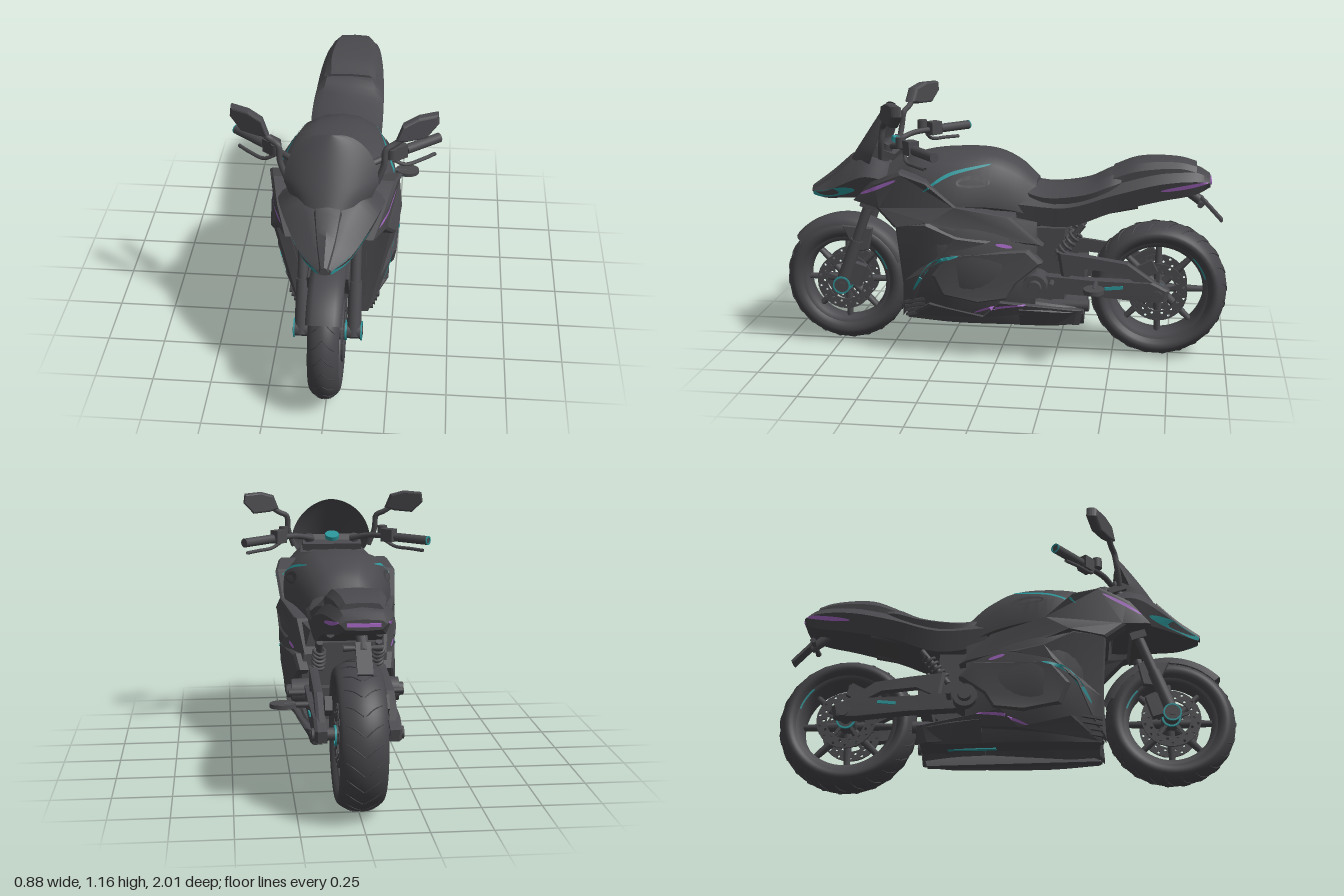
import * as THREE from 'three';
import { toCreasedNormals } from 'three/addons/utils/BufferGeometryUtils.js';

const mat = (name, color) => new THREE.MeshStandardMaterial({ name, color, side: THREE.DoubleSide });
const V = (x, y, z) => new THREE.Vector3(x, y, z);

export function createModel() {
  const group = new THREE.Group();
  const body = mat('charcoal', 0x4a494d), rubber = mat('rubber', 0x464549), dark = mat('dark grey', 0x403f43);
  const teal = mat('teal', 0x2b9599), purple = mat('purple', 0xa568c4);

  const put = (name, geo, m = body) => {
    const mesh = new THREE.Mesh(geo, m);
    mesh.name = name;
    group.add(mesh);
    return mesh;
  };
  const flipX = (g) => {
    g = g.index ? g.toNonIndexed() : g.clone();
    g.scale(-1, 1, 1);
    for (const a of Object.values(g.attributes))
      for (let i = 0; i < a.count; i += 3)
        for (let k = 0; k < a.itemSize; k++) {
          const t = a.getComponent(i + 1, k);
          a.setComponent(i + 1, k, a.getComponent(i + 2, k));
          a.setComponent(i + 2, k, t);
        }
    return g;
  };
  const both = (name, geo, m) => { put(name + 'Left', geo, m); put(name + 'Right', flipX(geo), m); };
  const build = (pos, idx, crease) => {
    const g = new THREE.BufferGeometry();
    g.setAttribute('position', new THREE.Float32BufferAttribute(pos, 3));
    g.setIndex(idx);
    return toCreasedNormals(g, crease);
  };
  // Symmetric body from half sections [z, [x, y]...] running front to back, each from top to bottom
  const loft = (sections, steps = 16) => {
    const n = sections[0].length - 1, pos = [], idx = [];
    const curves = [...Array(n).keys()].map((j) =>
      new THREE.CatmullRomCurve3(sections.map((s) => V(s[j + 1][0], s[j + 1][1], s[0]))));
    const m = 2 * n - 2;
    for (let i = 0; i <= steps; i++) {
      const half = curves.map((c) => c.getPoint(i / steps));
      half.forEach((p) => pos.push(p.x, p.y, p.z));
      for (let j = n - 2; j > 0; j--) pos.push(-half[j].x, half[j].y, half[j].z);
    }
    for (let j = 0; j < m; j++) {
      const k = (j + 1) % m;
      for (let i = 0; i < steps; i++) {
        const a = i * m + j, b = i * m + k;
        idx.push(a, b, a + m, b, b + m, a + m);
      }
      if (j > 0 && k > 0) idx.push(0, k, j, steps * m, steps * m + j, steps * m + k);
    }
    return build(pos, idx, 0.6);
  };
  // Bevelled side panel from an outline of [z, y, x]
  const plate = (pts, depth, bevel = 0.012) => {
    let c = pts.map((p) => new THREE.Vector2(-p[0], p[1]));
    if (THREE.ShapeUtils.isClockWise(c)) { pts = [...pts].reverse(); c.reverse(); }
    const n = pts.length, pos = [], idx = [];
    const mid = c.reduce((s, p) => s.add(p), new THREE.Vector2()).divideScalar(n);
    [[0, 0.93], [bevel, 1], [depth, 1]].forEach(([d, s]) => pts.forEach((p, i) =>
      pos.push(p[2] - d, mid.y + (c[i].y - mid.y) * s, -(mid.x + (c[i].x - mid.x) * s))));
    for (let r = 0; r < 2; r++) for (let j = 0; j < n; j++) {
      const a = r * n + j, b = r * n + (j + 1) % n;
      idx.push(a, a + n, b, b, a + n, b + n);
    }
    for (let [a, b, d] of THREE.ShapeUtils.triangulateShape(c, [])) {
      if (THREE.ShapeUtils.area([c[a], c[b], c[d]]) < 0) [b, d] = [d, b];
      idx.push(a, b, d, 2 * n + a, 2 * n + d, 2 * n + b);
    }
    return build(pos, idx, 0.4);
  };
  const rod = (p, q, r0, r1 = r0, sides = 14) => {
    const d = V(...q).sub(V(...p)), g = new THREE.CylinderGeometry(r1, r0, d.length(), sides);
    g.applyQuaternion(new THREE.Quaternion().setFromUnitVectors(V(0, 1, 0), d.clone().normalize()));
    return g.translate(...V(...p).addScaledVector(d, 0.5).toArray());
  };
  const pipe = (pts, r, n = 20) => new THREE.TubeGeometry(new THREE.CatmullRomCurve3(pts.map((p) => V(...p))), n, r, 8);
  const box = (w, h, d, x, y, z, rx = 0) => new THREE.BoxGeometry(w, h, d).rotateX(rx).translate(x, y, z);
  // Thin painted strip laid on the bodywork; points are [z, y] for the sides or [x, y] for the front
  const strip = (name, pts, width, m, front = false) => [1, -1].forEach((s) => {
    group.updateMatrixWorld(true);
    const curve = new THREE.SplineCurve(pts.map((p) => new THREE.Vector2(...p)));
    const ray = new THREE.Raycaster(), pos = [], idx = [];
    for (let i = 0; i <= 24; i++) {
      const p = curve.getPoint(i / 24), t = curve.getTangent(i / 24);
      const w = width / 2 * Math.max(0.15, Math.sqrt(Math.sin(Math.PI * i / 24)));
      const row = [1, -1].map((e) => {
        const a = p.x - t.y * w * e, y = p.y + t.x * w * e;
        const dir = front ? V(0, 0, -1) : V(-s, 0, 0);
        ray.set(front ? V(a * s, y, 2) : V(2 * s, y, a), dir);
        const hit = ray.intersectObject(group, true)[0];
        return hit && hit.point.addScaledVector(dir, -0.004);
      });
      if (row[0] && row[1]) row.forEach((q) => pos.push(q.x, q.y, q.z));
    }
    for (let i = 0; i + 3 < pos.length / 3; i += 2) idx.push(i, i + 1, i + 2, i + 1, i + 3, i + 2);
    if (idx.length) put(name + (s > 0 ? 'Left' : 'Right'), build(pos, idx, 0.6), m);
  });

  // Bodywork
  put('tank', loft([
    [0.46, [0, .84], [.08, .84], [.13, .81], [.17, .76], [.18, .68], [0, .66]],
    [0.36, [0, .89], [.09, .885], [.16, .86], [.22, .79], [.235, .72], [0, .66]],
    [0.2, [0, .912], [.1, .905], [.18, .875], [.24, .8], [.25, .7], [0, .62]],
    [0.03, [0, .908], [.09, .9], [.155, .87], [.205, .79], [.205, .69], [0, .62]],
    [-0.08, [0, .865], [.07, .855], [.125, .82], [.165, .75], [.17, .67], [0, .62]],
    [-0.16, [0, .79], [.06, .785], [.1, .76], [.13, .71], [.14, .64], [0, .6]]], 24));
  put('seat', loft([
    [-0.08, [0, .8], [.08, .79], [.12, .76], [.12, .72], [0, .7]],
    [-0.2, [0, .765], [.11, .757], [.155, .73], [.15, .7], [0, .69]],
    [-0.38, [0, .785], [.12, .777], [.162, .75], [.15, .71], [0, .7]],
    [-0.48, [0, .832], [.11, .825], [.15, .785], [.14, .74], [0, .73]],
    [-0.53, [0, .84], [.1, .835], [.13, .8], [.12, .76], [0, .75]]]));
  put('pillionSeat', loft([
    [-0.49, [0, .845], [.09, .84], [.12, .815], [.12, .78], [0, .77]],
    [-0.6, [0, .885], [.095, .88], [.12, .85], [.115, .8], [0, .78]],
    [-0.78, [0, .89], [.075, .885], [.1, .862], [.1, .82], [0, .8]],
    [-0.85, [0, .872], [.065, .868], [.085, .845], [.08, .82], [0, .8]]]));
  put('tailCowl', loft([
    [-0.08, [0, .76], [.12, .75], [.165, .7], [.15, .62], [0, .6]],
    [-0.3, [0, .74], [.135, .735], [.165, .69], [.14, .6], [0, .6]],
    [-0.5, [0, .79], [.13, .79], [.16, .75], [.13, .67], [0, .66]],
    [-0.7, [0, .85], [.11, .84], [.142, .8], [.11, .72], [0, .715]],
    [-0.85, [0, .855], [.085, .845], [.115, .81], [.09, .75], [0, .745]],
    [-0.91, [0, .82], [.07, .815], [.09, .8], [.07, .78], [0, .775]]], 20));
  put('noseCowl', loft([
    [0.86, [0, .715], [.02, .71], [.03, .7], [.025, .685], [0, .68]],
    [0.78, [0, .775], [.05, .755], [.1, .72], [.085, .685], [0, .675]],
    [0.68, [0, .865], [.09, .835], [.16, .77], [.13, .7], [0, .67]],
    [0.58, [0, .9], [.14, .88], [.205, .81], [.17, .71], [0, .68]],
    [0.48, [0, .87], [.15, .86], [.225, .8], [.19, .72], [0, .7]]]));
  put('noseRidge', loft([
    [0.87, [0, .725], [.012, .718], [.018, .7], [0, .69]],
    [0.77, [0, .8], [.035, .785], [.04, .75], [0, .74]],
    [0.68, [0, .878], [.05, .868], [.06, .83], [0, .82]]], 8));
  put('fairingCore', loft([
    [0.41, [0, .68], [.2, .68], [.24, .62], [.215, .47], [.17, .29], [.14, .16], [.1, .22], [0, .22]],
    [0.2, [0, .68], [.22, .68], [.265, .6], [.26, .45], [.235, .29], [.17, .155], [.11, .225], [0, .225]],
    [0, [0, .66], [.2, .65], [.23, .56], [.24, .43], [.23, .28], [.17, .155], [.11, .225], [0, .225]],
    [-0.17, [0, .63], [.15, .62], [.18, .52], [.19, .4], [.2, .27], [.16, .155], [.11, .225], [0, .225]]]));
  put('bellyPan', loft([
    [-0.1, [0, .28], [.19, .28], [.225, .24], [.17, .155], [.11, .225], [0, .225]],
    [-0.25, [0, .26], [.18, .26], [.205, .23], [.16, .155], [.11, .22], [0, .22]],
    [-0.38, [0, .235], [.14, .235], [.17, .22], [.14, .165], [.1, .21], [0, .21]]], 6));
  both('shoulderPanel', plate([[.64, .7, .19], [.55, .79, .23], [.42, .845, .26], [.3, .81, .28], [.17, .7, .265],
    [-.06, .65, .215], [-.2, .52, .19], [.08, .56, .25], [.28, .63, .28], [.44, .6, .265], [.53, .68, .23]], .08));
  both('sideFairing', plate([[.44, .62, .255], [.3, .63, .275], [.16, .57, .272], [.02, .55, .25], [.2, .5, .27],
    [.31, .4, .25], [.38, .24, .195], [.43, .17, .16], [.42, .34, .2]], .06));
  both('sidePod', plate([[.28, .39, .262], [.2, .49, .268], [-.14, .51, .225], [-.2, .45, .21], [-.09, .36, .235],
    [-.05, .29, .24], [.08, .27, .25], [.24, .3, .25]], .05));
  both('lowerBlade', plate([[.42, .165, .15], [.3, .25, .23], [.06, .2, .225], [-.02, .28, .25], [-.38, .235, .185],
    [-.36, .16, .165]], .05));

  // Painted strips and lights
  strip('headlight', [[.025, .692], [.09, .707], [.165, .747]], .03, teal, true);
  strip('tankStripe', [[.31, .765], [.2, .835], [.03, .873]], .014, teal);
  strip('tankBadge', [[.17, .8], [.1, .807], [.03, .8]], .05, dark);
  strip('fairingStripe', [[.37, .31], [.28, .44], [.16, .485]], .018, teal);
  strip('shoulderStripe', [[.6, .735], [.52, .77], [.43, .81]], .016, purple);
  strip('kneeStripe', [[.0, .535], [-.07, .52]], .016, purple);
  strip('bellyStripe', [[.1, .215], [0, .25], [-.13, .265]], .012, purple);
  strip('tailLight', [[-.7, .768], [-.8, .785], [-.9, .805]], .018, purple);
  put('rearLight', box(.13, .014, .008, 0, .798, -.912), purple);
  put('undersideMark', box(.02, .006, .28, .08, .222, -.19), teal);
  for (let i = 0; i < 4; i++)
    both('vent', box(.012, .012, .09, .19 - i * .009, .255 - i * .022, .37, .2), dark);

  // Windscreen bowed around the cockpit, with rows bunched towards its rounded top
  const screen = new THREE.PlaneGeometry(2, 1, 20, 20), sp = screen.attributes.position;
  for (let i = 0; i < sp.count; i++) {
    const u = sp.getX(i), v = 1 - (0.5 - sp.getY(i)) ** 2;
    const w = v < .2 ? .19 - (.2 - v) * .12 : .19 * Math.sqrt(Math.max(0, 1 - ((v - .2) / .8) ** 2));
    sp.setXYZ(i, u * w, .86 + .25 * v - .02 * u * u * v * (1 - v), .685 - .165 * v - .12 * u * u * (1 - v) ** .5);
  }
  screen.computeVertexNormals();
  put('windscreen', screen);

  // Wheels
  const lathe = (pts, a = 0, l = Math.PI * 2) =>
    new THREE.LatheGeometry(pts.map((p) => new THREE.Vector2(...p)), 56, a, l).rotateZ(Math.PI / 2);
  const ring = (r, inner, depth, holes) => {
    const s = new THREE.Shape().absarc(0, 0, r, 0, Math.PI * 2);
    s.holes.push(new THREE.Path().absarc(0, 0, inner, 0, Math.PI * 2, true));
    for (let i = 0; i < holes; i++) {
      const a = i / holes * Math.PI * 2, q = (r + inner) / 2 + (i % 2 ? .01 : -.01);
      s.holes.push(new THREE.Path().absarc(q * Math.cos(a), q * Math.sin(a), .006, 0, Math.PI * 2, true));
    }
    return new THREE.ExtrudeGeometry(s, { depth, bevelEnabled: false, curveSegments: 14 })
      .translate(0, 0, -depth / 2).rotateY(Math.PI / 2);
  };
  // h is half the tyre width, d the distance of the brake discs from the middle
  const wheel = (name, R, h, d, y, z) => {
    const at = (g) => g.translate(0, y, z);
    const side = [[R - .085, .7], [R - .062, .95], [R - .035, .95], [R - .01, .55]];
    const prof = [...side.map(([r, k]) => [r, -k * h]), [R, 0], ...side.reverse().map(([r, k]) => [r, k * h])];
    const smooth = new THREE.SplineCurve(prof.map((p) => new THREE.Vector2(...p))).getPoints(28);
    put(name + 'Tyre', at(lathe(smooth.map((p) => [p.x, p.y]))), rubber);
    put(name + 'Rim', at(lathe([[R - .08, h * .75], [R - .1, h * .68], [R - .105, 0], [R - .1, -h * .68], [R - .08, -h * .75]])));
    put(name + 'Hub', at(rod([-d - .008, 0, 0], [d + .008, 0, 0], .042)));
    for (let i = 0; i < 8; i++)
      put(name + 'Spoke', at(rod([0, .035, 0], [0, R - .1, 0], .02, .013, 8).scale(1.5, 1, 1).rotateX(i * Math.PI / 4)));
    both(name + 'Disc', at(ring(.13, .085, .008, 28).translate(d, 0, 0)));
    for (let i = 0; i < 5; i++)
      both(name + 'DiscArm', at(box(.008, .06, .014, d, .065, 0).rotateX(i * Math.PI * .4)));
    both(name + 'HubRing', at(ring(.042, .034, .008, 0).translate(d + .01, 0, 0)), teal);
    both(name + 'RimMark', at(lathe([[R - .09, h * .74], [R - .083, h * .77]], .3, .5).rotateY(Math.PI)), teal);
    // Tread grooves sweeping back from the crown
    for (let i = 0; i < 24; i++) {
      const pts = [[.04, 0, .001], [.4, .1, -.004], [.75, .17, -.021]].map(([k, a, e]) => {
        const t = a + i * Math.PI / 12;
        return [k * h, (R + e) * Math.cos(t), (R + e) * Math.sin(t)];
      });
      both(name + 'Tread', at(pipe(pts, .0025, 6)), dark);
    }
  };
  wheel('front', .284, .064, .066, .295, .715);
  wheel('rear', .302, .095, .08, .304, -.698);

  // Front fork, brakes and mudguard
  both('forkLower', rod([.108, .28, .725], [.108, .5, .647], .031, .027));
  both('forkUpper', rod([.108, .49, .65], [.108, .94, .49], .022));
  both('forkFoot', rod([.08, .295, .715], [.14, .295, .715], .034));
  both('forkRing', ring(.04, .033, .006, 0).translate(.139, .295, .715), teal);
  both('caliper', box(.04, .1, .055, .1, .34, .645, -.3));
  put('frontAxle', rod([-.145, .295, .715], [.145, .295, .715], .016));
  put('lowerClamp', box(.27, .035, .07, 0, .67, .585, -.3));
  put('topClamp', box(.28, .03, .08, 0, .9, .5, -.3));
  put('frontMudguard', lathe([[.262, -.073], [.288, -.069], [.302, -.045], [.308, 0], [.302, .045], [.288, .069],
    [.262, .073]], .72, 2.05).translate(0, .295, .715));
  both('mudguardBracket', plate([[.72, .56, .085], [.58, .55, .085], [.6, .45, .09], [.66, .44, .09]], .025, .004));
  put('radiator', box(.28, .38, .04, 0, .44, .405));

  // Cockpit, handlebars and mirrors
  put('dashboard', box(.24, .05, .1, 0, .9, .55, .4));
  put('gauge', new THREE.CylinderGeometry(.033, .033, .02, 24).rotateX(-.4).translate(0, .94, .47), teal);
  both('handlebar', pipe([[.09, .925, .49], [.17, .945, .44], [.27, .948, .355], [.34, .947, .295]], .013));
  both('grip', rod([.29, .948, .337], [.418, .946, .232], .021));
  both('barEnd', rod([.413, .946, .236], [.424, .946, .227], .021));
  put('barEndRing', ring(.021, .015, .005, 0).rotateY(-.69).translate(-.425, .946, .226), teal);
  both('switchBlock', box(.06, .06, .05, 0, 0, 0).rotateY(.69).translate(.26, .955, .36));
  both('reservoir', rod([.235, .95, .41], [.235, .995, .41], .022));
  both('lever', pipe([[.24, .93, .39], [.29, .9, .375], [.36, .895, .32], [.41, .893, .27]], .008));
  const glass = new THREE.Shape([[.265, 1.079], [.285, 1.13], [.34, 1.148], [.408, 1.145], [.412, 1.113], [.37, 1.067],
    [.298, 1.07]].map((p) => new THREE.Vector2(...p)));
  const mirror = new THREE.ExtrudeGeometry(glass, { depth: .012, bevelSize: .009, bevelThickness: .018, bevelSegments: 3 });
  const mp = mirror.attributes.position;
  for (let i = 0; i < mp.count; i++) mp.setZ(i, mp.getZ(i) + .465 - (mp.getX(i) - .26) * .55);
  mirror.computeVertexNormals();
  both('mirror', mirror);
  both('mirrorStalk', pipe([[.18, .89, .51], [.208, .97, .5], [.215, 1.035, .49], [.25, 1.055, .475], [.3, 1.09, .46]], .013));

  // Engine, swing arm and rear suspension
  put('engineBlock', box(.26, .34, .2, 0, .42, -.19));
  both('engineCover', rod([.12, .35, -.17], [.235, .35, -.17], .058, .052, 20));
  both('engineCap', rod([.23, .35, -.17], [.257, .35, -.17], .032, .028, 16));
  both('swingArm', plate([[-.18, .39, .18], [-.42, .375, .18], [-.68, .37, .175], [-.75, .335, .175], [-.74, .285, .175],
    [-.66, .28, .175], [-.42, .3, .18], [-.18, .31, .18]], .05));
  both('swingBrace', plate([[-.26, .49, .165], [-.4, .475, .165], [-.57, .45, .165], [-.7, .36, .165], [-.63, .355, .165],
    [-.54, .405, .165], [-.38, .42, .165], [-.28, .37, .165]], .035));
  put('swingBridge', box(.28, .07, .05, 0, .38, -.355));
  put('rearAxle', rod([-.185, .31, -.698], [.185, .31, -.698], .026));
  both('swingMark', box(.006, .014, .08, .18, .343, -.51, .1), teal);
  both('rearCaliper', box(.03, .06, .1, .115, .41, -.64, .5));
  both('shock', rod([.125, .45, -.25], [.125, .61, -.37], .014));
  const coil = [...Array(49).keys()].map((i) => {
    const t = i / 48, a = t * Math.PI * 10;
    return [.125 + .024 * Math.cos(a), .475 + .1 * t + .014 * Math.sin(a), -.27 - .075 * t + .02 * Math.sin(a)];
  });
  both('shockSpring', pipe(coil, .007, 100));
  both('subframe', rod([.11, .6, -.12], [.1, .7, -.6], .018));
  both('footPeg', rod([.15, .36, -.24], [.25, .36, -.24], .012));
  both('exhaustStub', rod([.12, .24, -.24], [.13, .245, -.4], .03, .026));
  put('sideStand', rod([.16, .36, -.43], [.28, .36, -.43], .012));
  put('standFoot', new THREE.CylinderGeometry(.045, .045, .018, 16).scale(1.25, 1, 1).translate(.285, .36, -.43));

  // Number plate holder with indicators
  put('plateArm', rod([0, .76, -.8], [0, .69, -.89], .025, .02));
  put('plateHolder', box(.06, .14, .012, 0, .67, -.92, .75));
  both('indicator', rod([.02, .7, -.87], [.075, .7, -.87], .009, .013));
  return group;
}
